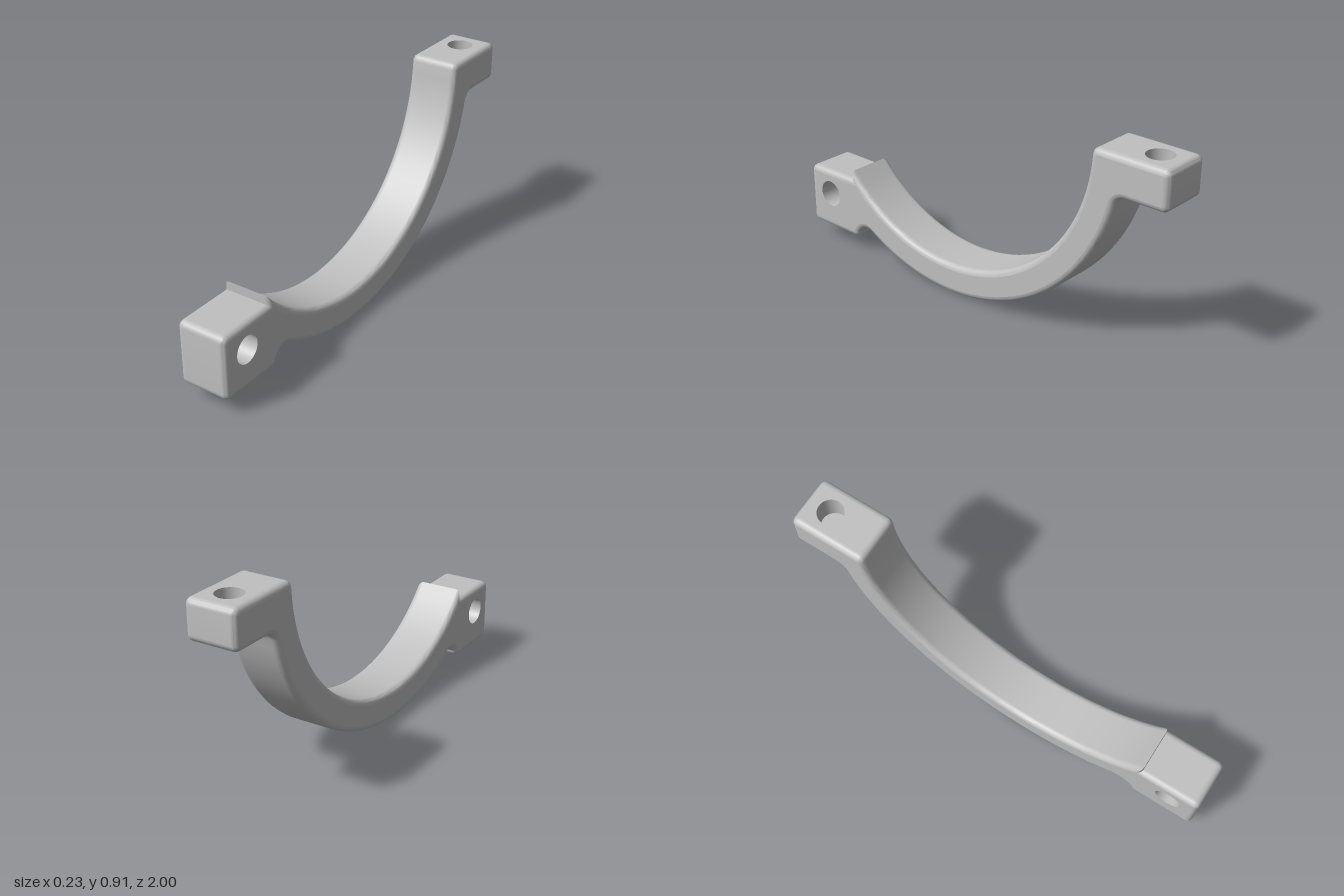
import * as THREE from 'three';
import { toCreasedNormals } from 'three/addons/utils/BufferGeometryUtils.js';

const H = 0.117;     // half width
const BEVEL = 0.025; // rounding of the long edges
const R = 0.027;     // rounding of the profile corners
const E = 0.005;     // narrow strip that keeps flat faces flat
const ARC = { z: 0.135, y: 0.92 }; // centre of the curved arm
const PIN = { z: 0.868, y: 0.247, r: 0.062 };
const BOLT = { z: -0.88, r: 0.058, depth: 0.12 };
const TOP = 0.907;

// Side profile in (z, y), counter-clockwise
function buildProfile() {
  const pts = [];
  const add = (z, y) => {
    const p = new THREE.Vector2(z, y);
    if (!pts.length || pts[pts.length - 1].distanceTo(p) > 0.003) pts.push(p);
  };
  const arc = (z, y, r, from, to, n) => {
    for (let i = 0; i <= n; i++) {
      const a = THREE.MathUtils.degToRad(from + (to - from) * i / n);
      add(z + r * Math.cos(a), y + r * Math.sin(a));
    }
  };
  const corner = (z, y, from) => {
    const a = THREE.MathUtils.degToRad(from), c = Math.cos(a), s = Math.sin(a);
    add(z + R * c + E * s, y + R * s - E * c);
    arc(z, y, R, from, from + 90, 4);
    add(z - R * s - E * c, y + R * c - E * s);
  };

  corner(-1 + R, 0.733 + R, 180);                    // flange underside
  arc(-0.805, 0.683, 0.05, 90, 14.1, 5);             // flange fillet
  arc(ARC.z, ARC.y, 0.92, 194.1, 300.55, 44);        // outside of arm
  arc(0.632, 0.078, 0.058, 120.55, 25, 6);           // block fillet
  arc(0.716, 0.099, R, 180, 270, 4);                 // block
  add(0.716 + E, 0.099 - R);
  corner(1 - R, 0.072 + R, 270);
  corner(1 - R, 0.363 - R, 0);
  add(0.72, 0.363);                                  // raised lip
  add(0.72, 0.404);
  arc(ARC.z, ARC.y, 0.78, 313, 183.5, 40);           // inside of arm
  corner(-0.645 - R, TOP - R, 0);                    // flange top
  const topEdge = pts.length - 1;
  corner(-1 + R, TOP - R, 90);
  return { pts, topEdge };
}

// Mitred inset of a closed counter-clockwise outline
function insetOutline(pts, d) {
  const n = pts.length;
  const normal = (a, b) => new THREE.Vector2(b.y - a.y, a.x - b.x).normalize();
  return pts.map((p, i) => {
    const n1 = normal(pts[(i + n - 1) % n], p), n2 = normal(p, pts[(i + 1) % n]);
    return p.clone().addScaledVector(n1.clone().add(n2), -d / (1 + n1.dot(n2)));
  });
}

// Rounded skin running across the width, open at both sides and under the top plate
function buildSkin(pts, inset, topEdge) {
  const half = [];
  for (let i = 4; i >= 0; i--) {
    const a = i * Math.PI / 8;
    half.push({ x: -(H - BEVEL + BEVEL * Math.sin(a)), k: 1 - Math.cos(a) });
  }
  half.push({ x: -(H - BEVEL - E), k: 0 });
  const layers = [...half, ...half.map(l => ({ x: -l.x, k: l.k })).reverse()];
  const n = pts.length, pos = [], index = [];
  for (const { x, k } of layers) {
    pts.forEach((p, j) => {
      const q = p.clone().lerp(inset[j], k);
      pos.push(x, q.y, q.x);
    });
  }
  for (let l = 0; l < layers.length - 1; l++) {
    for (let j = 0; j < n; j++) {
      if (l === half.length - 1 && j === topEdge) continue;
      const a = l * n + j, c = l * n + (j + 1) % n;
      index.push(a, a + n, c, c, a + n, c + n);
    }
  }
  const g = new THREE.BufferGeometry();
  g.setAttribute('position', new THREE.Float32BufferAttribute(pos, 3));
  g.setIndex(index);
  return toCreasedNormals(g, 0.5);
}

const circleHole = (x, y, r) => new THREE.Path().absarc(x, y, r, 0, Math.PI * 2, true);

export function createModel() {
  const group = new THREE.Group();
  group.name = 'clampBracket';
  const grey = new THREE.MeshStandardMaterial({ color: 0xc0c0c0, side: THREE.DoubleSide });
  grey.name = 'grey metal';
  const part = (name, geometry) => {
    const mesh = new THREE.Mesh(geometry, grey);
    mesh.name = name;
    group.add(mesh);
    return mesh;
  };

  const { pts, topEdge } = buildProfile();
  const inset = insetOutline(pts, BEVEL);
  part('bracketBody', buildSkin(pts, inset, topEdge));

  // Flat sides with the pin hole
  for (const side of [-1, 1]) {
    const shape = new THREE.Shape(inset);
    shape.holes.push(circleHole(PIN.z, PIN.y, PIN.r));
    const g = new THREE.ShapeGeometry(shape, 24);
    g.rotateY(-Math.PI / 2);
    g.translate(side * H, 0, 0);
    if (side > 0) {
      g.index.array.reverse();
      g.computeVertexNormals();
    }
    part(side > 0 ? 'leftSide' : 'rightSide', g);
  }
  const pin = new THREE.CylinderGeometry(PIN.r, PIN.r, 2 * H, 48, 1, true);
  pin.rotateZ(Math.PI / 2);
  part('pinHole', pin).position.set(0, PIN.y, PIN.z);

  // Flange top with the blind bolt hole
  const w = H - BEVEL - E, z0 = -pts[topEdge].x, z1 = -pts[topEdge + 1].x;
  const plate = new THREE.Shape([[-w, z0], [w, z0], [w, z1], [-w, z1]].map(p => new THREE.Vector2(...p)));
  plate.holes.push(circleHole(0, -BOLT.z, BOLT.r));
  const plateGeometry = new THREE.ShapeGeometry(plate, 24);
  plateGeometry.rotateX(-Math.PI / 2);
  part('flangeTop', plateGeometry).position.y = TOP;

  const bolt = new THREE.CylinderGeometry(BOLT.r, BOLT.r, BOLT.depth, 48, 1, true);
  part('boltHole', bolt).position.set(0, TOP - BOLT.depth / 2, BOLT.z);
  const floor = new THREE.CircleGeometry(BOLT.r, 48);
  floor.rotateX(-Math.PI / 2);
  part('boltHoleFloor', floor).position.set(0, TOP - BOLT.depth, BOLT.z);

  return group;
}
